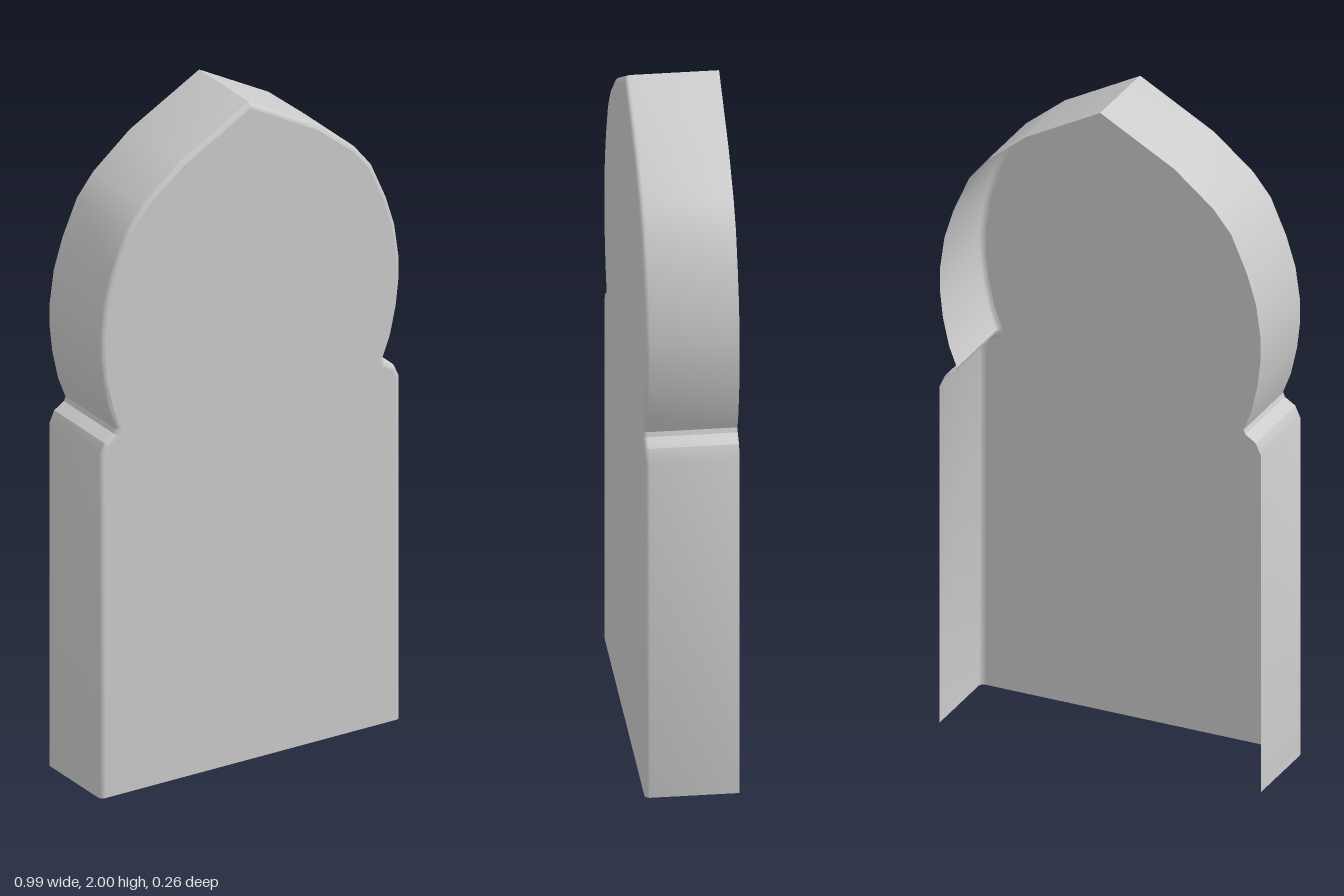
import * as THREE from 'three';
import { toCreasedNormals } from 'three/addons/utils/BufferGeometryUtils.js';

const DEPTH = 0.132; // half thickness
const BEVEL = 0.014; // rounded front edge

// Half outline from the foot up to the apex
const half = [
  [0.493, 0], [0.493, 1.044], [0.477, 1.08], [0.445, 1.1], [0.44, 1.113],
  [0.464, 1.175], [0.483, 1.26], [0.492, 1.34], [0.492, 1.41], [0.478, 1.51],
  [0.45, 1.6], [0.402, 1.71], [0.348, 1.777], [0.228, 1.875], [0, 2],
];

// Offsets the open outline inwards, mitred at each corner
function inset(points, d) {
  const normal = (a, b) => new THREE.Vector2(b.y - a.y, a.x - b.x).normalize();
  return points.map((p, i) => {
    const before = points[Math.max(i - 1, 0)];
    const after = points[Math.min(i + 1, points.length - 1)];
    const n1 = i > 0 ? normal(before, p) : normal(p, after);
    const n2 = i < points.length - 1 ? normal(p, after) : n1;
    const m = n1.clone().add(n2).normalize();
    return p.clone().addScaledVector(m, -d / Math.max(m.dot(n1), 0.5));
  });
}

export function createModel() {
  const group = new THREE.Group();
  group.name = 'archPanel';
  const material = new THREE.MeshStandardMaterial({ color: 0xcccccc, side: THREE.DoubleSide });

  // Full outline: up the left half, down the mirrored right half
  const mirrored = half.slice(0, -1).reverse().map(([x, y]) => [-x, y]);
  const outline = [...half, ...mirrored].map(([x, y]) => new THREE.Vector2(x, y));

  // Cross-sections from the open back to the rounded front edge
  const rings = [{ points: outline, z: -DEPTH }];
  const steps = 3;
  for (let j = 0; j <= steps; j++) {
    const a = (j / steps) * Math.PI / 2;
    rings.push({
      points: inset(outline, BEVEL * (1 - Math.cos(a))),
      z: DEPTH - BEVEL * (1 - Math.sin(a)),
    });
  }

  // Side wall with its bevel, open at the back and the foot
  const positions = [];
  const index = [];
  const n = outline.length;
  rings.forEach(({ points, z }, j) => {
    points.forEach((p, i) => {
      positions.push(p.x, p.y, z);
      if (j === rings.length - 1 || i === n - 1) return;
      const a = j * n + i;
      index.push(a, a + 1, a + n + 1, a, a + n + 1, a + n);
    });
  });
  const wall = new THREE.BufferGeometry();
  wall.setAttribute('position', new THREE.Float32BufferAttribute(positions, 3));
  wall.setIndex(index);
  const rim = new THREE.Mesh(toCreasedNormals(wall, THREE.MathUtils.degToRad(32)), material);
  rim.name = 'rim';
  group.add(rim);

  // Flat front sheet
  const last = rings[rings.length - 1];
  const face = new THREE.Mesh(new THREE.ShapeGeometry(new THREE.Shape(last.points)), material);
  face.position.z = last.z;
  face.name = 'frontFace';
  group.add(face);

  return group;
}
